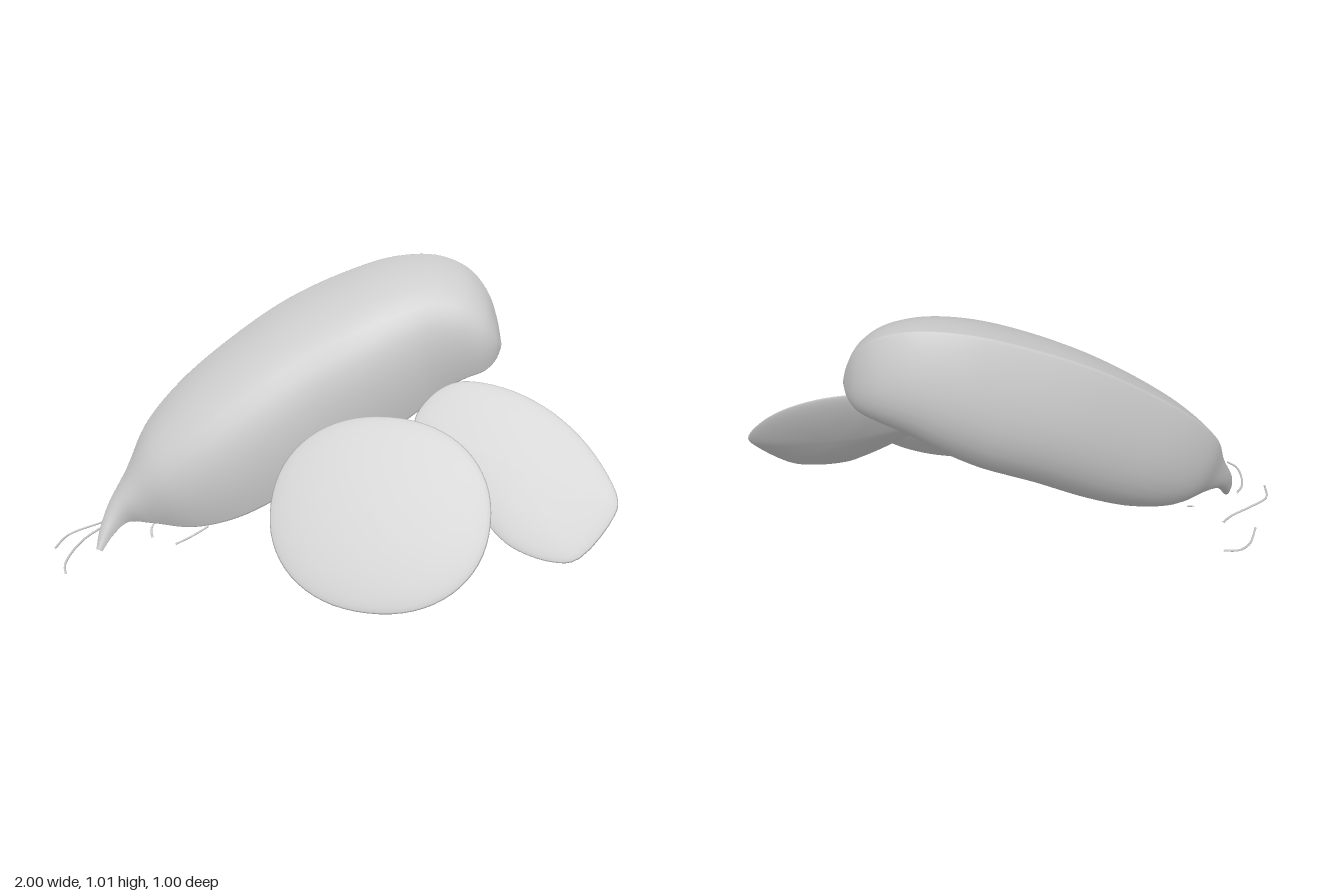
import * as THREE from 'three';

// Everything rests on planes leaning back: z = z0 - SLOPE * y
const SLOPE = 0.71;
const NORMAL = new THREE.Vector3(0, SLOPE, 1).normalize();
const onPlane = (x, y, z0) => new THREE.Vector3(x, y, z0 - SLOPE * y);

// Smooth surface from rows of points; columns wrap around
function skin(rows) {
  const n = rows[0].length, index = [];
  for (let i = 0; i < rows.length - 1; i++) {
    for (let j = 0; j < n; j++) {
      const a = i * n + j, b = i * n + (j + 1) % n;
      index.push(a, b, a + n, b, b + n, a + n);
    }
  }
  const g = new THREE.BufferGeometry().setFromPoints(rows.flat());
  g.setIndex(index);
  g.computeVertexNormals();
  return g;
}

// Tuber: lens-shaped sections strung between an upper and a lower edge
function tuberGeometry() {
  // upper x, upper y, lower x, lower y
  const stations = [
    [-0.855, 0.005, -0.83, 0], [-0.855, 0.06, -0.80, 0.05], [-0.84, 0.14, -0.75, 0.095],
    [-0.79, 0.26, -0.66, 0.10], [-0.745, 0.40, -0.5, 0.10], [-0.64, 0.54, -0.34, 0.14],
    [-0.47, 0.69, -0.18, 0.22], [-0.26, 0.835, 0, 0.335], [-0.02, 0.945, 0.15, 0.42],
    [0.13, 0.99, 0.28, 0.51], [0.28, 1.0, 0.36, 0.58], [0.40, 0.965, 0.44, 0.62],
    [0.48, 0.895, 0.5, 0.645], [0.525, 0.81, 0.535, 0.68], [0.55, 0.73, 0.55, 0.72],
  ];
  const upper = new THREE.CatmullRomCurve3(stations.map(s => onPlane(s[0], s[1], 0.262)));
  const lower = new THREE.CatmullRomCurve3(stations.map(s => onPlane(s[2], s[3], 0.262)));
  const rows = [], N = 70, M = 40;
  for (let i = 0; i <= N; i++) {
    const u = upper.getPoint(i / N), l = lower.getPoint(i / N);
    const mid = u.clone().add(l).multiplyScalar(0.5);
    const half = u.clone().sub(l).multiplyScalar(0.5);
    const size = half.length(), row = [];
    for (let j = 0; j < M; j++) {
      const a = (j / M) * Math.PI * 2, s = Math.sin(a);
      const depth = s > 0 ? 0.66 * Math.pow(s, 2) : -0.77 * Math.pow(-s, 1.8);
      row.push(mid.clone().addScaledVector(half, Math.cos(a)).addScaledVector(NORMAL, depth * size));
    }
    rows.push(row);
  }
  return skin(rows);
}

// Slice: closed outline (clockwise from the front) with a faint front dome and a fuller back
function sliceGeometry(outline, z0, front, back) {
  const rim = new THREE.CatmullRomCurve3(outline.map(([x, y]) => onPlane(x, y, z0)), true).getPoints(64);
  rim.pop();
  const centre = new THREE.Vector3();
  rim.forEach(p => centre.addScaledVector(p, 1 / rim.length));
  const rows = [], N = 20;
  for (let i = 0; i <= N; i++) {
    const a = (i / N) * Math.PI, r = Math.sin(a), c = Math.cos(a);
    const lift = c > 0 ? front * Math.pow(c, 1.2) : -back * Math.pow(-c, 1.4);
    rows.push(rim.map(p => centre.clone().lerp(p, r).addScaledVector(NORMAL, lift)));
  }
  return skin(rows);
}

export function createModel() {
  const model = new THREE.Group();
  const flesh = new THREE.MeshStandardMaterial({ color: 0xcccccc });
  flesh.name = 'paleGrey';
  const add = (name, geometry) => {
    const mesh = new THREE.Mesh(geometry, flesh);
    mesh.name = name;
    model.add(mesh);
  };

  add('tuber', tuberGeometry());

  // Front slice: a slightly squared oval
  const oval = [];
  for (let i = 0; i < 24; i++) {
    const a = -(i / 24) * Math.PI * 2, c = Math.cos(a), s = Math.sin(a);
    oval.push([
      0.205 + 0.378 * Math.sign(c) * Math.pow(Math.abs(c), 0.93),
      0.282 + 0.275 * Math.sign(s) * Math.pow(Math.abs(s), 0.93),
    ]);
  }
  add('frontSlice', sliceGeometry(oval, 0.5, 0.026, 0.052));

  // Side slice: a longer piece with a blunt lower corner
  add('sideSlice', sliceGeometry([
    [0.27, 0.49], [0.32, 0.57], [0.4, 0.615], [0.5, 0.62], [0.65, 0.59], [0.8, 0.52],
    [0.92, 0.42], [0.995, 0.31], [0.985, 0.26], [0.87, 0.13], [0.78, 0.12], [0.65, 0.15],
    [0.57, 0.2], [0.45, 0.295], [0.31, 0.42],
  ], 0.305, 0.02, 0.045));

  // Loose root hairs on the ground
  const hairs = [
    [[-0.92, 0.01, 0], [-0.88, 0.02, -0.12], [-0.83, 0.035, -0.185], [-0.77, 0.05, -0.21]],
    [[-1, 0.012, 0.3], [-0.99, 0.02, 0.2], [-0.9, 0.032, 0.1], [-0.83, 0.042, 0.03], [-0.79, 0.05, -0.03]],
    [[-0.875, 0.015, 0.475], [-0.9, 0.022, 0.43], [-0.91, 0.03, 0.36], [-0.9, 0.04, 0.25], [-0.87, 0.05, 0.18]],
    [[-0.58, 0.01, 0.17], [-0.53, 0.025, 0.12], [-0.48, 0.05, 0.08]],
    [[-0.69, 0.05, 0.08], [-0.695, 0.03, 0.11], [-0.68, 0.01, 0.14]],
  ];
  hairs.forEach((points, i) => {
    const path = new THREE.CatmullRomCurve3(points.map(p => new THREE.Vector3(...p)));
    add(`rootHair${i + 1}`, new THREE.TubeGeometry(path, 16, 0.004, 6));
  });

  return model;
}
